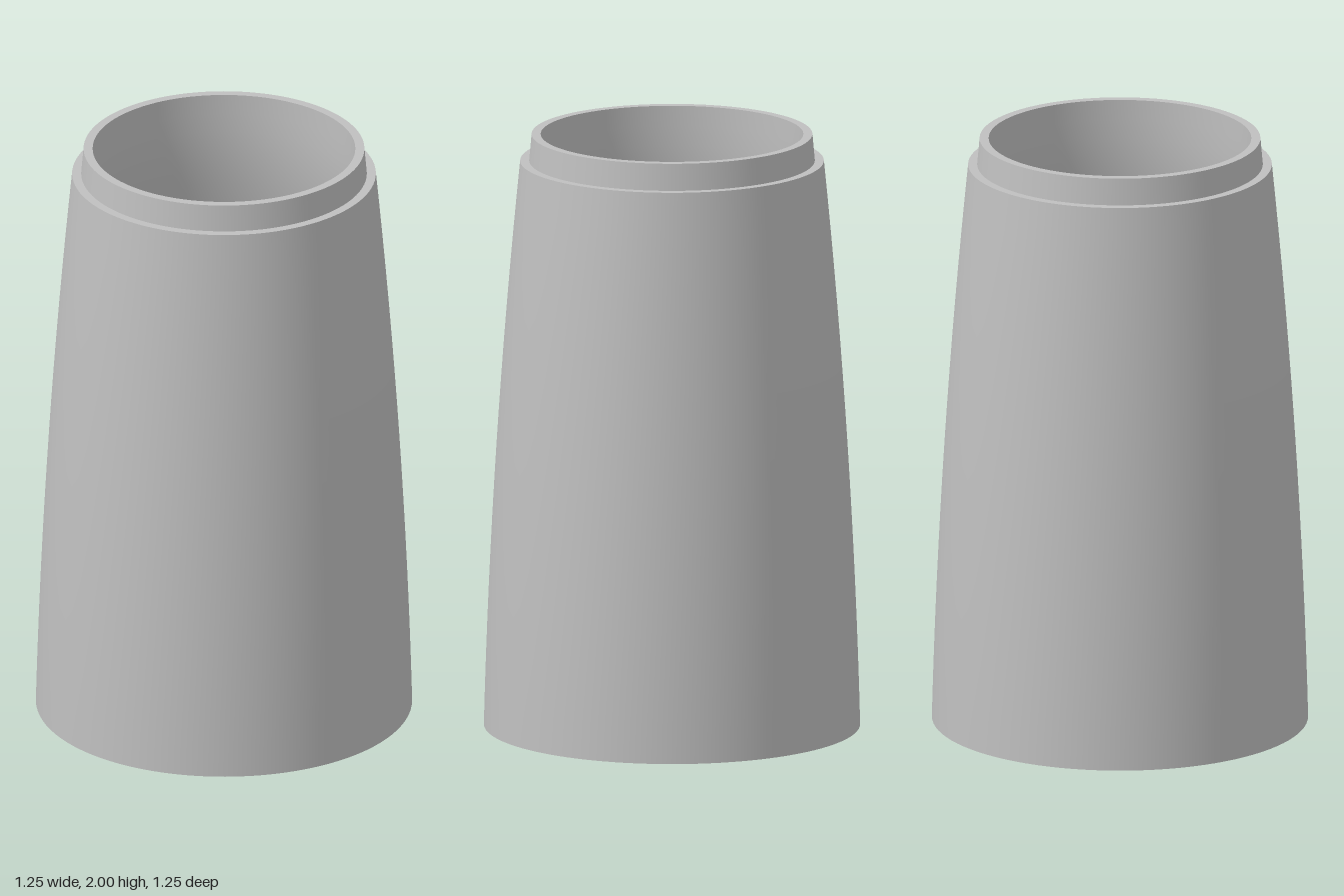
import * as THREE from 'three';

const SEGMENTS = 96;

// Gently bowed outer taper: radius at height y
const outerRadius = (y) => 0.623 - 0.0254 * y - 0.0196 * y * y;

// Sample a radius rule between two heights
function profile(rule, from, to, steps) {
  return Array.from({ length: steps + 1 }, (_, i) => {
    const y = from + ((to - from) * i) / steps;
    return [rule(y), y];
  });
}

// Inner bore: thin wall that thickens smoothly into the collar
function innerRadius(y) {
  const t = THREE.MathUtils.smoothstep(y, 1.3, 1.92);
  return THREE.MathUtils.lerp(outerRadius(y) - 0.025, 0.435, t);
}

export function createModel() {
  const group = new THREE.Group();
  group.name = 'taperedSleeve';

  const grey = new THREE.MeshStandardMaterial({ color: 0xbfbfbf });
  grey.name = 'plain grey';

  // Each surface is its own lathe so the rims stay sharp
  const addSurface = (name, points) => {
    const geometry = new THREE.LatheGeometry(points.map(([r, y]) => new THREE.Vector2(r, y)), SEGMENTS);
    const mesh = new THREE.Mesh(geometry, grey);
    mesh.name = name;
    group.add(mesh);
  };

  // Outside, from the bottom up
  addSurface('outerWall', profile(outerRadius, 0, 1.91, 16));
  addSurface('shoulder', [[outerRadius(1.91), 1.91], [0.473, 1.91]]);
  addSurface('collarWall', [[0.473, 1.91], [0.465, 2]]);
  addSurface('topRim', [[0.465, 2], [0.435, 2]]);

  // Inside, from the top down
  addSurface('innerWall', profile(innerRadius, 2, 0, 30));
  addSurface('bottomRim', [[innerRadius(0), 0], [outerRadius(0), 0]]);

  return group;
}
